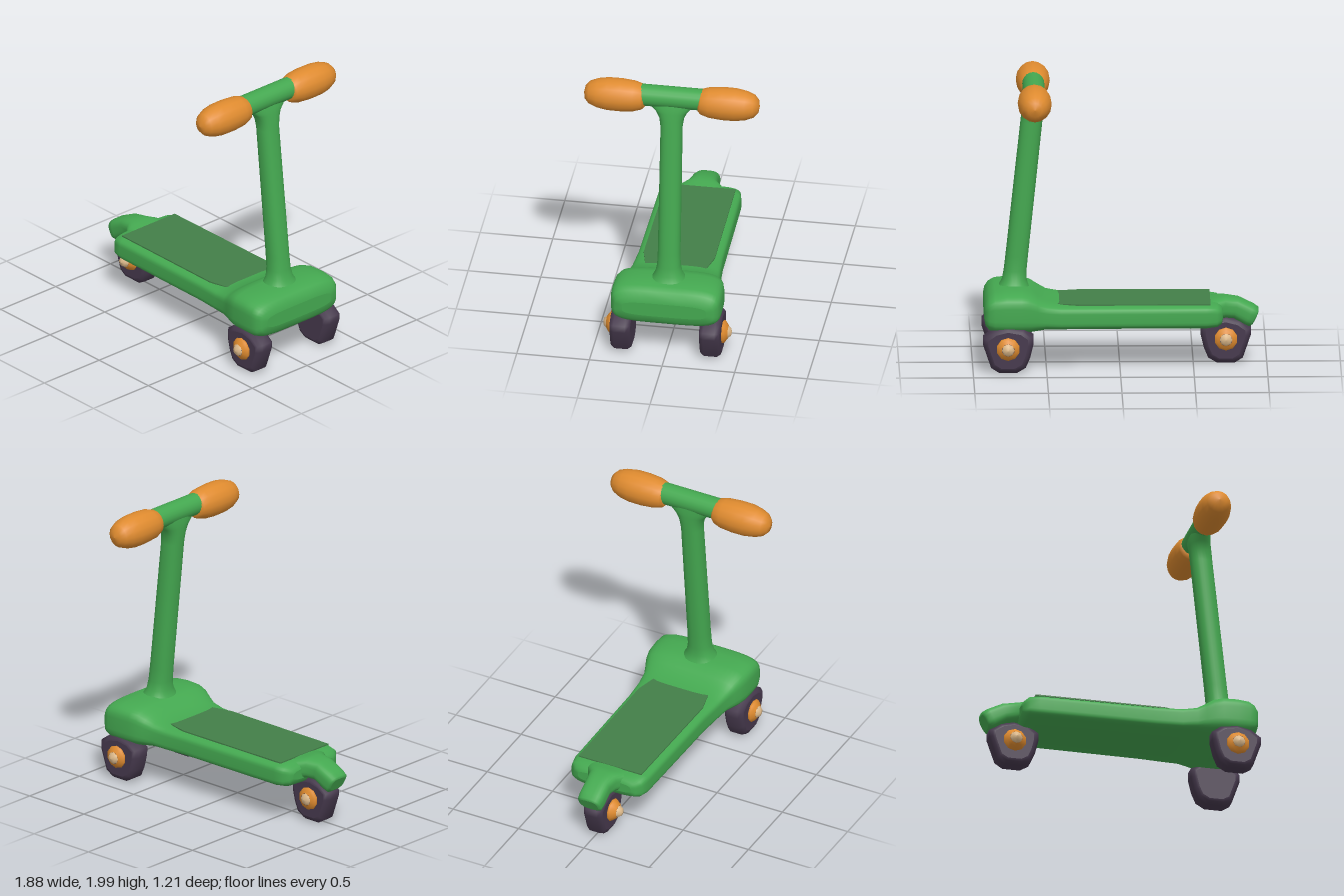
import * as THREE from 'three';

const mat = (name, color) => Object.assign(new THREE.MeshStandardMaterial({ color }), { name });

// Closed skin through rings of points, with flat end caps
function loft(rings) {
  const n = rings[0].length, pos = [], idx = [];
  rings.forEach(r => r.forEach(p => pos.push(p.x, p.y, p.z)));
  for (let i = 0; i < rings.length - 1; i++) {
    for (let j = 0; j < n; j++) {
      const k = (j + 1) % n, a = i * n + j, b = i * n + k;
      idx.push(a, b, a + n, b, b + n, a + n);
    }
  }
  [rings[0], rings[rings.length - 1]].forEach((r, end) => {
    const base = pos.length / 3, c = new THREE.Vector3();
    r.forEach(p => { pos.push(p.x, p.y, p.z); c.addScaledVector(p, 1 / n); });
    pos.push(c.x, c.y, c.z);
    for (let j = 0; j < n; j++) {
      const k = (j + 1) % n;
      if (end) idx.push(base + j, base + k, base + n);
      else idx.push(base + k, base + j, base + n);
    }
  });
  const g = new THREE.BufferGeometry();
  g.setAttribute('position', new THREE.Float32BufferAttribute(pos, 3));
  g.setIndex(idx);
  g.computeVertexNormals();
  return g;
}

// Rounded-rectangle ring: centre c, half axes u and v, higher e is squarer
function ring(c, u, v, e = 2, n = 28) {
  const f = t => Math.sign(t) * Math.abs(t) ** (2 / e);
  return Array.from({ length: n }, (_, i) => {
    const a = (i + 0.5) / n * Math.PI * 2;
    return new THREE.Vector3(...c)
      .addScaledVector(new THREE.Vector3(...u), f(Math.cos(a)))
      .addScaledVector(new THREE.Vector3(...v), f(Math.sin(a)));
  });
}

// Turned part along +z or -z, from [radius, distance] pairs
function turned(profile, side, segments) {
  const g = new THREE.LatheGeometry(profile.map(p => new THREE.Vector2(...p)), segments);
  return g.rotateX(side * Math.PI / 2);
}

export function createModel() {
  const green = mat('green frame', 0x44a850);
  const padGreen = mat('deck pad green', 0x437f48);
  const orange = mat('orange', 0xdf8b2f);
  const purple = mat('dark purple tyre', 0x46394d);
  const cream = mat('cream axle cap', 0xddb98a);
  const model = new THREE.Group();
  model.name = 'scooter';
  const add = (name, geometry, material, x = 0, y = 0, z = 0) => {
    const m = new THREE.Mesh(geometry, material);
    m.name = name;
    m.position.set(x, y, z);
    model.add(m);
  };

  // Deck flowing into the front block: x, bottom, top, half width, squareness
  const body = [
    [-0.70, 0.33, 0.40, 0.20, 4], [-0.69, 0.30, 0.425, 0.235, 4], [-0.66, 0.285, 0.445, 0.27, 4.5],
    [-0.59, 0.28, 0.452, 0.284, 5], [-0.2, 0.28, 0.452, 0.288, 5], [0.22, 0.28, 0.453, 0.292, 5],
    [0.40, 0.28, 0.456, 0.305, 5], [0.50, 0.28, 0.475, 0.32, 4.5], [0.56, 0.27, 0.51, 0.342, 4.2],
    [0.61, 0.263, 0.54, 0.362, 4.2], [0.67, 0.26, 0.555, 0.376, 4.2], [0.77, 0.26, 0.557, 0.38, 4.2],
    [0.85, 0.265, 0.548, 0.378, 4.2], [0.89, 0.28, 0.525, 0.365, 4.2], [0.915, 0.31, 0.49, 0.34, 4],
    [0.923, 0.35, 0.45, 0.29, 4],
  ];
  add('deckAndFrontBlock', loft(body.map(([x, lo, hi, w, e]) =>
    ring([x, (lo + hi) / 2, 0], [0, (hi - lo) / 2, 0], [0, 0, w], e, 40))), green);

  // Flat standing pad
  const pad = new THREE.Shape([[-0.615, -0.24], [0.28, -0.245], [0.47, -0.2], [0.47, 0.2], [0.28, 0.245], [-0.615, 0.24]]
    .map(p => new THREE.Vector2(...p)));
  add('deckPad', new THREE.ExtrudeGeometry(pad, { depth: 0.009, bevelEnabled: false }).rotateX(-Math.PI / 2),
    padGreen, 0, 0.449, 0);

  // Rear fender: centre x, y, upright half axis x, y, half width
  const fender = [
    [-0.922, 0.314, -0.022, 0.045, 0.065], [-0.913, 0.318, -0.032, 0.062, 0.085],
    [-0.88, 0.337, -0.032, 0.067, 0.09], [-0.79, 0.385, -0.018, 0.07, 0.09],
    [-0.72, 0.393, 0, 0.075, 0.105], [-0.67, 0.39, 0, 0.075, 0.15], [-0.59, 0.375, 0, 0.075, 0.19],
  ];
  add('rearFender', loft(fender.map(([x, y, ux, uy, w]) =>
    ring([x, y, 0], [ux, uy, 0], [0, 0, w], 3))), green);

  // Leaning stem, flared at the base and under the handlebar
  const stem = [
    [0.5, 0.13, 0.15], [0.55, 0.1, 0.115], [0.59, 0.083, 0.092], [0.65, 0.078, 0.08], [0.75, 0.077, 0.077],
    [1.68, 0.075, 0.075], [1.75, 0.075, 0.085], [1.8, 0.072, 0.11], [1.84, 0.07, 0.15], [1.89, 0.06, 0.18],
  ];
  add('stem', loft(stem.map(([y, hx, hz]) =>
    ring([0.715 - (y - 0.6) * 0.107, y, 0], [0, 0, hz], [hx, 0, 0], 2.3))), green);

  // Handlebar and grips
  const gx = 0.583;
  add('handlebar', new THREE.CylinderGeometry(0.075, 0.075, 0.46, 20).rotateX(Math.PI / 2), green, gx, 1.902, 0);
  const grip = [[0, 0.18], [0.07, 0.185], [0.09, 0.205], [0.107, 0.26], [0.115, 0.35], [0.114, 0.44],
    [0.102, 0.51], [0.08, 0.565], [0.048, 0.595], [0, 0.605]];
  for (const s of [1, -1]) add(s > 0 ? 'frontGrip' : 'backGrip', turned(grip, s, 16), orange, gx, 1.886, 0);

  // Chunky wheels with lopsided outlines
  const outline = [[0.17, 0.03], [0.17, 0.08], [0.1, 0.13], [0, 0.155], [-0.11, 0.135], [-0.173, 0.09],
    [-0.172, 0.03], [-0.15, -0.06], [-0.12, -0.13], [-0.06, -0.165], [0.06, -0.165], [0.115, -0.13]];
  const tyre = flip => {
    const pts = flip ? outline.map(([x, y]) => [-x, y]).reverse() : outline;
    return loft([[-0.072, 0.78], [-0.066, 0.88], [-0.04, 1], [0.04, 1], [0.066, 0.88], [0.072, 0.78]]
      .map(([z, s]) => pts.map(([x, y]) => new THREE.Vector3(x * s, y * s, z))));
  };

  // Orange hub with a pale cap on one side of a wheel
  const addHub = (name, x, z, side, length) => {
    add(name + 'Hub', turned([[0.07, 0.055], [0.08, 0.075], [0.078, 0.085], [0.06, 0.07 + length * 0.45],
      [0.043, 0.07 + length * 0.62]], side, 10), orange, x, 0.178, z);
    add(name + 'AxleCap', turned([[0.043, 0.07 + length * 0.62], [0.028, 0.07 + length * 0.9],
      [0, 0.07 + length]], side, 8), cream, x, 0.178, z);
  };

  add('rearTyre', tyre(true), purple, -0.722, 0.172, 0);
  addHub('rearOuter', -0.722, 0, 1, 0.085);
  addHub('rearInner', -0.722, 0, -1, 0.055);
  for (const s of [1, -1]) {
    const name = s > 0 ? 'frontWheelA' : 'frontWheelB';
    add(name + 'Tyre', tyre(false), purple, 0.763, 0.172, s * 0.308);
    addHub(name, 0.763, s * 0.308, s, 0.065);
  }
  return model;
}
